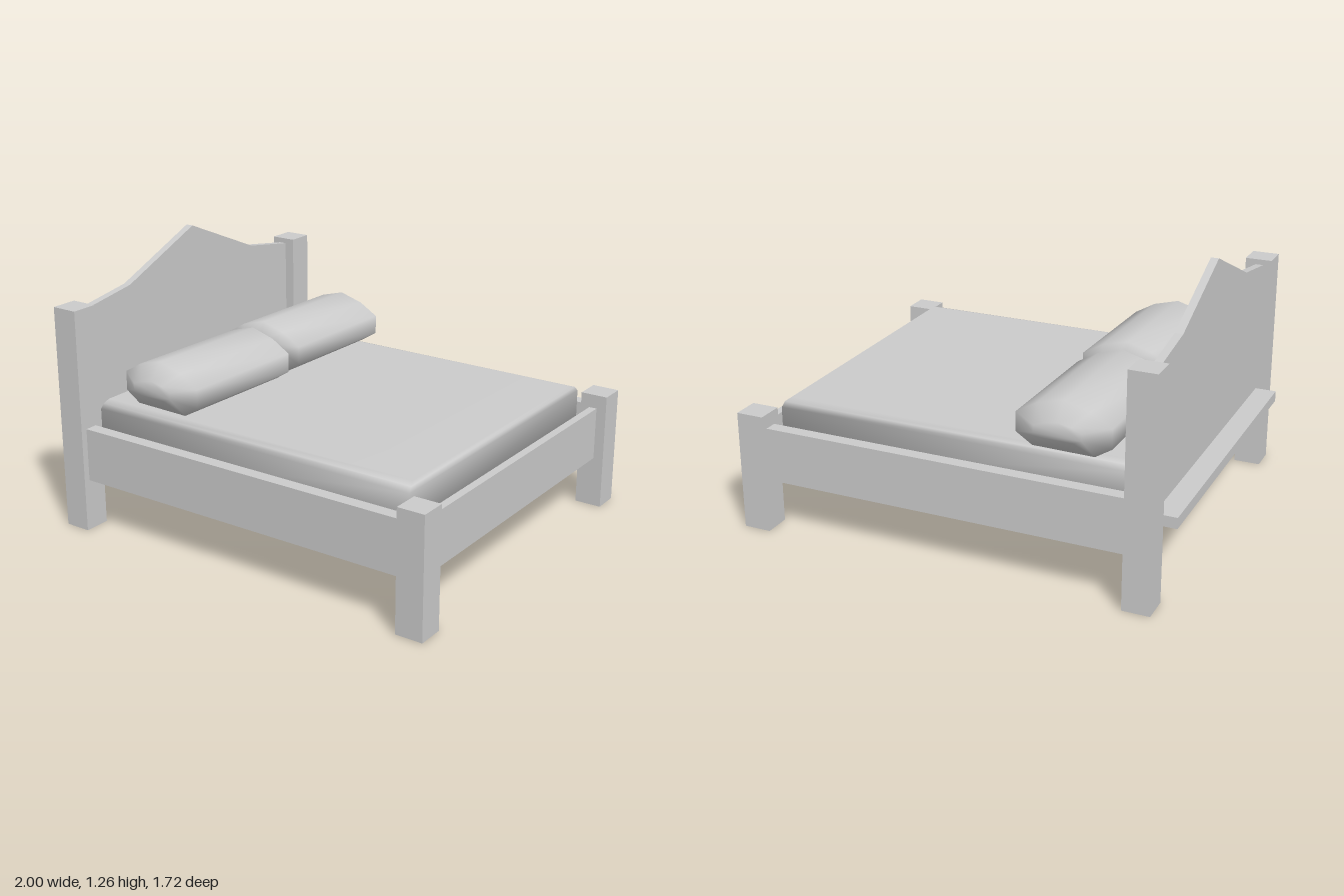
import * as THREE from 'three';

const material = new THREE.MeshStandardMaterial({ color: 0xcccccc });

function addMesh(parent, name, geometry) {
  const mesh = new THREE.Mesh(geometry, material);
  mesh.name = name;
  parent.add(mesh);
  return mesh;
}

// Box given by its extents
function addBox(parent, name, [x0, x1], [y0, y1], [z0, z1]) {
  const mesh = addMesh(parent, name, new THREE.BoxGeometry(x1 - x0, y1 - y0, z1 - z0));
  mesh.position.set((x0 + x1) / 2, (y0 + y1) / 2, (z0 + z1) / 2);
  return mesh;
}

// Smooth closed skin over equal-length rings, with a fan on each end.
// Rings run counter-clockwise seen from the end of the stack.
function loft(rings) {
  const n = rings[0].length;
  const points = rings.flat();
  const index = [];
  for (let r = 0; r < rings.length - 1; r++) {
    for (let i = 0; i < n; i++) {
      const a = r * n + i, b = r * n + (i + 1) % n;
      index.push(a, b, b + n, a, b + n, a + n);
    }
  }
  const last = (rings.length - 1) * n;
  for (let i = 1; i < n - 1; i++) {
    index.push(0, i + 1, i, last, last + i, last + i + 1);
  }
  const geometry = new THREE.BufferGeometry().setFromPoints(points);
  geometry.setIndex(index);
  geometry.computeVertexNormals();
  return geometry;
}

// Mattress: rectangles stacked upward, softened on the foot and both sides
function mattressGeometry() {
  const layers = [
    [0.36, 0.85, 0.735],
    [0.56, 0.85, 0.735],
    [0.582, 0.845, 0.715],
    [0.593, 0.83, 0.68],
  ];
  return loft(layers.map(([y, foot, side]) => [
    new THREE.Vector3(foot, y, side),
    new THREE.Vector3(foot, y, -side),
    new THREE.Vector3(-0.81, y, -side),
    new THREE.Vector3(-0.81, y, side),
  ]));
}

// Pillow: faceted cross-section along z, with the outer end (+z) more pointed
function pillowGeometry() {
  const section = [
    [0.215, -0.06], [0.215, 0.03], [0.12, 0.085], [0, 0.118], [-0.12, 0.085],
    [-0.215, 0.03], [-0.215, -0.06], [-0.14, -0.107], [0.14, -0.107],
  ];
  const stations = [
    [-0.36, 0.5, 0.35],
    [-0.335, 1, 1],
    [0.3, 1, 1],
    [0.36, 0.5, 0.35],
  ];
  return loft(stations.map(([z, sx, sy]) =>
    section.map(([x, y]) => new THREE.Vector3(x * sx, y * sy, z))));
}

export function createModel() {
  const bed = new THREE.Group();
  bed.name = 'bed';

  // Posts and side rails, mirrored across the bed
  for (const s of [1, -1]) {
    const side = s > 0 ? 'front' : 'back';
    const across = (a, b) => (s > 0 ? [a, b] : [-b, -a]);
    addBox(bed, side + 'HeadPost', [-0.94, -0.815], [0, 1.05], across(0.735, 0.86));
    addBox(bed, side + 'FootPost', [0.872, 1], [0, 0.555], across(0.735, 0.86));
    addBox(bed, side + 'SideRail', [-0.82, 0.875], [0.24, 0.49], across(0.77, 0.83));
  }

  // Foot board and the support ledges at both ends
  addBox(bed, 'footRail', [0.915, 0.952], [0.24, 0.49], [-0.735, 0.735]);
  addBox(bed, 'footLedge', [0.855, 0.915], [0.35, 0.4], [-0.735, 0.735]);
  addBox(bed, 'headLedge', [-1, -0.82], [0.35, 0.4], [-0.735, 0.735]);

  // Headboard with a peaked top, drawn across the bed and turned to face the foot
  const outline = new THREE.Shape([
    [-0.735, 0.4], [0.735, 0.4], [0.735, 1.025], [0.45, 1.07],
    [0, 1.262], [-0.45, 1.07], [-0.735, 1.025],
  ].map(([x, y]) => new THREE.Vector2(x, y)));
  const board = addMesh(bed, 'headboard',
    new THREE.ExtrudeGeometry(outline, { depth: 0.036, bevelEnabled: false }));
  board.rotation.y = Math.PI / 2;
  board.position.x = -0.9;

  addMesh(bed, 'mattress', mattressGeometry());

  // Pillows, each slightly askew, with the pointed ends outward
  const frontPillow = addMesh(bed, 'frontPillow', pillowGeometry());
  frontPillow.position.set(-0.505, 0.702, 0.35);
  frontPillow.rotation.y = -0.035;
  const backPillow = addMesh(bed, 'backPillow', pillowGeometry());
  backPillow.position.set(-0.505, 0.702, -0.425);
  backPillow.rotation.y = Math.PI - 0.025;

  return bed;
}
